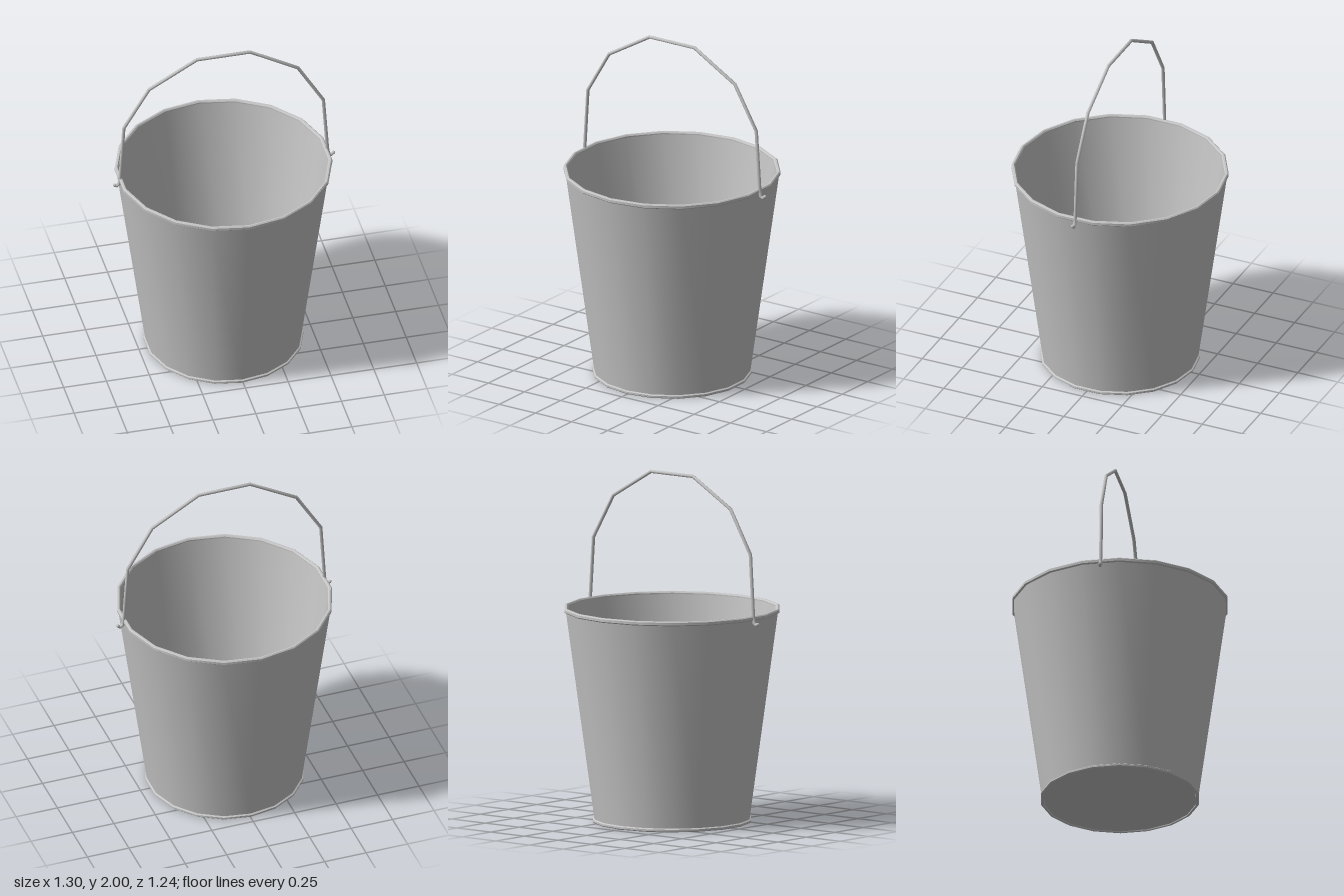
import * as THREE from 'three';
import { toCreasedNormals } from 'three/addons/utils/BufferGeometryUtils.js';

const SIDES = 18;

// Straight-segment path, sampled exactly at its corners
class Polyline extends THREE.Curve {
  constructor(points) {
    super();
    this.points = points;
  }
  getPoint(t, target = new THREE.Vector3()) {
    const s = t * (this.points.length - 1);
    const i = Math.min(Math.floor(s + 1e-9), this.points.length - 2);
    return target.lerpVectors(this.points[i], this.points[i + 1], s - i);
  }
  getPointAt(t, target) { return this.getPoint(t, target); }
  getTangentAt(t, target) { return this.getTangent(t, target); }
}

export function createModel() {
  const group = new THREE.Group();
  const steel = new THREE.MeshStandardMaterial({ color: 0xc4c4c4 });
  steel.name = 'galvanized steel';

  const add = (name, geometry, parent = group) => {
    const mesh = new THREE.Mesh(geometry, steel);
    mesh.name = name;
    parent.add(mesh);
    return mesh;
  };
  const lathe = (profile) => toCreasedNormals(
    new THREE.LatheGeometry(profile.map(([r, y]) => new THREE.Vector2(r, y)), SIDES), 0.6);

  const bucket = new THREE.Group();
  bucket.name = 'bucket';
  bucket.position.set(-0.005, 0, -0.003);
  group.add(bucket);

  // Tapered walls
  add('outerWall', lathe([[0.446, 0.016], [0.61, 1.207]]), bucket);
  add('innerWall', lathe([[0.597, 1.215], [0.41, 0.02]]), bucket);

  // Rolled top rim and bottom lip
  add('topRim', lathe([
    [0.597, 1.207], [0.612, 1.204], [0.619, 1.21], [0.619, 1.224],
    [0.613, 1.23], [0.604, 1.23], [0.597, 1.222], [0.597, 1.207],
  ]), bucket);
  add('bottomLip', lathe([
    [0.436, 0.008], [0.438, 0], [0.45, 0], [0.455, 0.005], [0.455, 0.015], [0.446, 0.021],
  ]), bucket);

  // Floor, seen from inside and from below
  const floorTop = new THREE.CircleGeometry(0.411, SIDES, Math.PI / 2).rotateX(-Math.PI / 2);
  add('floorTop', floorTop, bucket).position.y = 0.02;
  const floorBottom = new THREE.CircleGeometry(0.437, SIDES, Math.PI / 2).rotateX(Math.PI / 2);
  add('floorBottom', floorBottom, bucket).position.y = 0.006;

  // Bent wire handle with a small hook at each end
  const handle = new THREE.Group();
  handle.name = 'handle';
  handle.position.z = -0.003;
  group.add(handle);
  const path = [
    [-0.641, 1.186], [-0.629, 1.18], [-0.616, 1.19], [-0.609, 1.225],
    [-0.587, 1.58], [-0.44, 1.828], [-0.16, 1.99],
    [0.15, 1.99], [0.43, 1.828], [0.578, 1.575],
    [0.602, 1.225], [0.608, 1.19], [0.623, 1.18], [0.637, 1.192],
  ].map(([x, y]) => new THREE.Vector3(x, y, 0));
  add('handleWire', new THREE.TubeGeometry(new Polyline(path), path.length - 1, 0.01, 8), handle);
  for (const end of [path[0], path[path.length - 1]]) {
    add('hookTip', new THREE.SphereGeometry(0.01, 8, 6), handle).position.copy(end);
  }

  return group;
}
